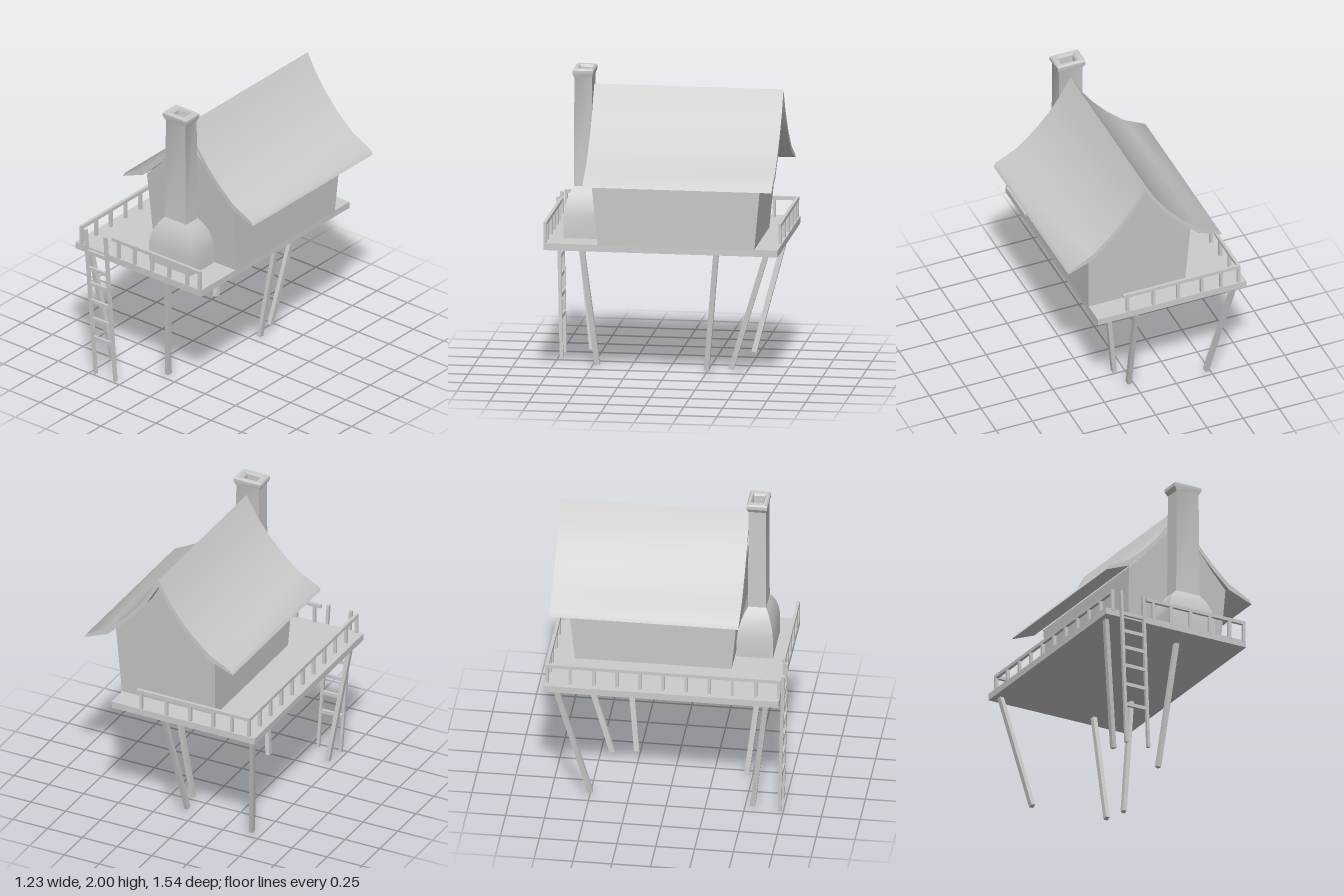
import * as THREE from 'three';
import { toCreasedNormals } from 'three/addons/utils/BufferGeometryUtils.js';

const material = new THREE.MeshStandardMaterial({ color: 0xcccccc });
const RIDGE_X = 0.077;

export function createModel() {
  const model = new THREE.Group();

  function add(parent, name, geometry) {
    const mesh = new THREE.Mesh(geometry, material);
    mesh.name = name;
    parent.add(mesh);
    return mesh;
  }

  function group(name) {
    const g = new THREE.Group();
    g.name = name;
    model.add(g);
    return g;
  }

  // Box between two opposite corners
  function block(parent, name, [x0, y0, z0], [x1, y1, z1]) {
    add(parent, name, new THREE.BoxGeometry(x1 - x0, y1 - y0, z1 - z0))
      .position.set((x0 + x1) / 2, (y0 + y1) / 2, (z0 + z1) / 2);
  }

  // Square beam running from one point to another
  function beam(parent, name, from, to, width, depth = width) {
    const a = new THREE.Vector3(...from), b = new THREE.Vector3(...to);
    const dir = b.clone().sub(a);
    const mesh = add(parent, name, new THREE.BoxGeometry(width, dir.length(), depth));
    mesh.position.copy(a).add(b).multiplyScalar(0.5);
    mesh.quaternion.setFromUnitVectors(new THREE.Vector3(0, 1, 0), dir.normalize());
  }

  // Skin over stacked rectangles given as [y, x0, x1, z0, z1]
  function loft(rows) {
    const points = [], index = [];
    rows.forEach(([y, x0, x1, z0, z1]) => points.push(x0, y, z1, x1, y, z1, x1, y, z0, x0, y, z0));
    for (let r = 0; r < rows.length - 1; r++) {
      for (let i = 0; i < 4; i++) {
        const a = r * 4 + i, b = r * 4 + (i + 1) % 4;
        index.push(a, b, b + 4, a, b + 4, a + 4);
      }
    }
    const last = (rows.length - 1) * 4;
    index.push(last, last + 1, last + 2, last, last + 2, last + 3);
    const geometry = new THREE.BufferGeometry();
    geometry.setAttribute('position', new THREE.Float32BufferAttribute(points, 3));
    geometry.setIndex(index);
    return toCreasedNormals(geometry, 0.5);
  }

  // Symmetric outline: half profile as [distance from ridge, y], mirrored
  const mirrored = (half) => [
    ...half.map(([d, y]) => new THREE.Vector2(RIDGE_X + d, y)),
    ...half.filter(([d]) => d > 0).reverse().map(([d, y]) => new THREE.Vector2(RIDGE_X - d, y)),
  ];

  // Deck
  block(model, 'deck', [-0.62, 0.865, -0.77], [0.41, 0.91, 0.74]);

  // House body: gabled outline whose end walls lean outward with height
  const under = [[0.355, 1.395], [0.245, 1.505], [0.08, 1.7], [0, 1.84]];
  const body = new THREE.ExtrudeGeometry(
    new THREE.Shape(mirrored([[0.335, 0.905], ...under])),
    { depth: 1, bevelEnabled: false });
  const p = body.attributes.position;
  for (let i = 0; i < p.count; i++) {
    const lean = (p.getY(i) - 0.91) * 0.095;
    p.setZ(i, p.getZ(i) > 0.5 ? 0.39 + lean : -0.62 - lean);
  }
  body.computeVertexNormals();
  add(model, 'houseWalls', body);

  // Roof: swept-out curved slopes
  const top = [[0.518, 1.355], [0.367, 1.434], [0.244, 1.545], [0.155, 1.645], [0.077, 1.752], [0, 1.89]];
  const lower = [[0.0, 1.838], [0.09, 1.69], [0.167, 1.592], [0.25, 1.502], [0.367, 1.393], [0.533, 1.328]];
  const right = [...lower, ...top];
  const outline = right.map(([d, y]) => new THREE.Vector2(RIDGE_X + d, y));
  const leftSide = right.slice(1, -1).reverse().map(([d, y]) => new THREE.Vector2(RIDGE_X - d, y));
  const roof = new THREE.ExtrudeGeometry(new THREE.Shape([...outline, ...leftSide]),
    { depth: 1.22, bevelEnabled: false });
  roof.translate(0, 0, -0.76);
  add(model, 'roof', toCreasedNormals(roof, 0.6));

  // Chimney: flared hearth, shaft, cap and hollow flue
  add(model, 'chimney', loft([
    [0.905, -0.10, 0.24, 0.40, 0.635],
    [1.05, -0.10, 0.24, 0.40, 0.635],
    [1.10, -0.09, 0.23, 0.41, 0.63],
    [1.16, -0.068, 0.21, 0.425, 0.615],
    [1.20, -0.043, 0.187, 0.443, 0.6],
    [1.235, -0.013, 0.16, 0.463, 0.58],
    [1.94, -0.008, 0.153, 0.465, 0.578],
    [1.968, -0.026, 0.167, 0.455, 0.588],
    [1.99, -0.026, 0.167, 0.455, 0.588],
    [2.0, -0.018, 0.159, 0.463, 0.58],
    [2.0, 0.012, 0.13, 0.478, 0.562],
    [1.985, 0.022, 0.12, 0.485, 0.553],
    [1.85, 0.022, 0.12, 0.485, 0.553],
  ]));

  // Railings: a top rail on evenly placed posts
  function railing(name, start, end, posts) {
    const g = group(name), w = 0.01;
    block(g, 'topRail', [start[0] - w, 1.022, start[1] - w], [end[0] + w, 1.045, end[1] + w]);
    posts.forEach(([x, z]) => block(g, 'post', [x - w, 0.9, z - w], [x + w, 1.03, z + w]));
  }
  railing('sideRailing', [-0.572, -0.755], [-0.572, 0.735],
    Array.from({ length: 11 }, (_, i) => [-0.572, -0.755 + i * 0.149]));
  railing('backRailing', [-0.572, -0.757], [0.22, -0.757],
    [-0.45, -0.315, -0.15, 0.02, 0.2].map((x) => [x, -0.757]));
  railing('frontRailing', [-0.31, 0.732], [0.395, 0.732],
    [-0.27, -0.14, 0.003, 0.145, 0.29, 0.395].map((x) => [x, 0.732]));

  // Splayed stilts: [top x, top z, foot x, foot z, foot y]
  const stilts = group('stilts');
  [
    [-0.575, 0.655, -0.46, 0.552, 0.03],
    [-0.002, 0.565, -0.08, 0.463, 0.02],
    [0.185, -0.345, 0.085, -0.265, 0.04],
    [0.097, -0.672, 0.047, -0.418, 0.045],
    [-0.572, -0.705, -0.457, -0.493, 0.045],
  ].forEach(([x, z, fx, fz, fy]) => beam(stilts, 'stilt', [fx, fy, fz], [x, 0.88, z], 0.028, 0.034));

  // Ladder leaning on the front edge
  const ladder = group('ladder');
  const at = (y, x) => [x - 0.055 * y, y, 0.726 + 0.03 * y];
  [-0.463, -0.302].forEach((x) => beam(ladder, 'ladderRail', at(0.002, x), at(1.043, x), 0.019, 0.022));
  [0.265, 0.402, 0.531, 0.655, 0.767, 0.887].forEach((y) =>
    beam(ladder, 'rung', at(y, -0.463), at(y, -0.302), 0.024, 0.018));

  return model;
}
